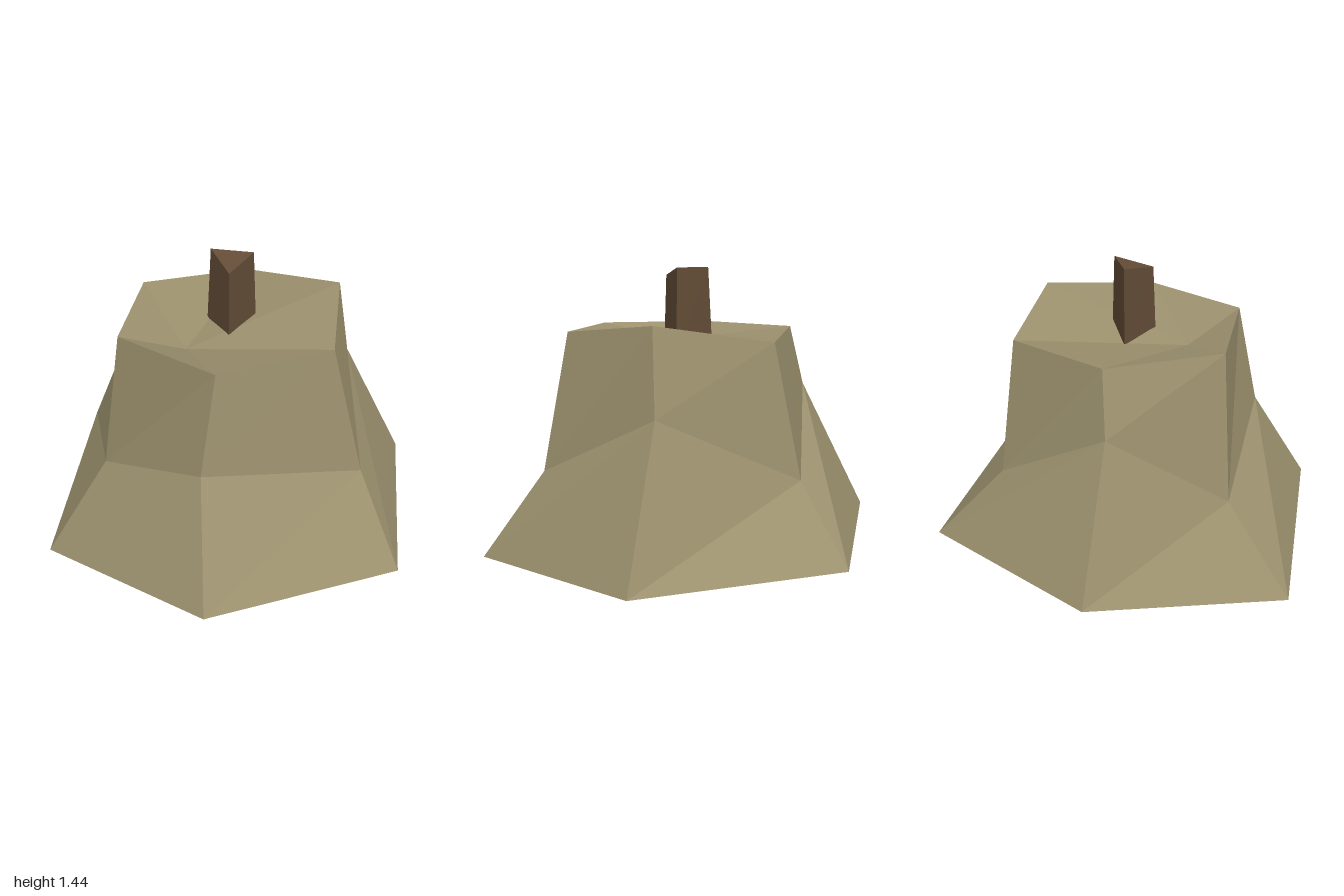
import * as THREE from 'three';

// Skin a stack of rings (top to bottom, counter-clockwise from above) and close it
// with a fan at each end.
function loft(rings, topCentre, bottomCentre) {
  const n = rings[0].length;
  const out = [];
  const tri = (...corners) => corners.forEach((p) => out.push(...p));
  for (let i = 0; i < n; i++) {
    const j = (i + 1) % n;
    for (let r = 0; r < rings.length - 1; r++) {
      const [up, low] = [rings[r], rings[r + 1]];
      tri(up[i], low[i], up[j]);
      tri(low[i], low[j], up[j]);
    }
    const last = rings[rings.length - 1];
    tri(topCentre, rings[0][i], rings[0][j]);
    tri(bottomCentre, last[j], last[i]);
  }
  const geometry = new THREE.BufferGeometry();
  geometry.setAttribute('position', new THREE.Float32BufferAttribute(out, 3));
  geometry.computeVertexNormals();
  return geometry;
}

// Regular hexagon starting at the front and turning towards +x, with uneven heights
function hexRing(radius, heights) {
  return heights.map((y, i) => {
    const a = (i * Math.PI) / 3;
    return [radius * Math.sin(a), y, radius * Math.cos(a)];
  });
}

export function createModel() {
  const stone = new THREE.MeshStandardMaterial({ color: 0x9c916e, flatShading: true });
  stone.name = 'stone';
  const wood = new THREE.MeshStandardMaterial({ color: 0x644d37, flatShading: true });
  wood.name = 'wood';

  const group = new THREE.Group();
  group.name = 'stemmedMound';

  // Flared six-sided body with an irregular waist and a dented top
  const waist = [
    [0.08, 0.49, 0.71], [0.58, 0.8, 0.3], [0.545, 0.475, -0.405],
    [-0.03, 0.84, -0.66], [-0.55, 0.425, -0.375], [-0.6, 0.66, 0.28],
  ];
  const body = new THREE.Mesh(loft([
    hexRing(0.57, [1.14, 1.2, 1.113, 1.14, 1.135, 1.14]),
    waist,
    hexRing(1, [0.068, 0.113, 0.135, 0.18, 0, 0.135]),
  ], [-0.29, 1.06, -0.05], [0, 0.058, 0]), stone);
  body.name = 'body';
  group.add(body);

  // Three-sided stem with a slanted cut, sunk a little into the top
  const stemTop = [[0.088, 1.44, 0.055], [0, 1.44, -0.13], [-0.1, 1.4, 0.055]];
  const stemFoot = [[0.103, 1.03, 0.063], [-0.005, 1.03, -0.155], [-0.115, 1.03, 0.063]];
  const stem = new THREE.Mesh(
    loft([stemTop, stemFoot], [-0.004, 1.427, -0.007], [-0.006, 1.03, -0.01]), wood);
  stem.name = 'stem';
  group.add(stem);

  return group;
}
